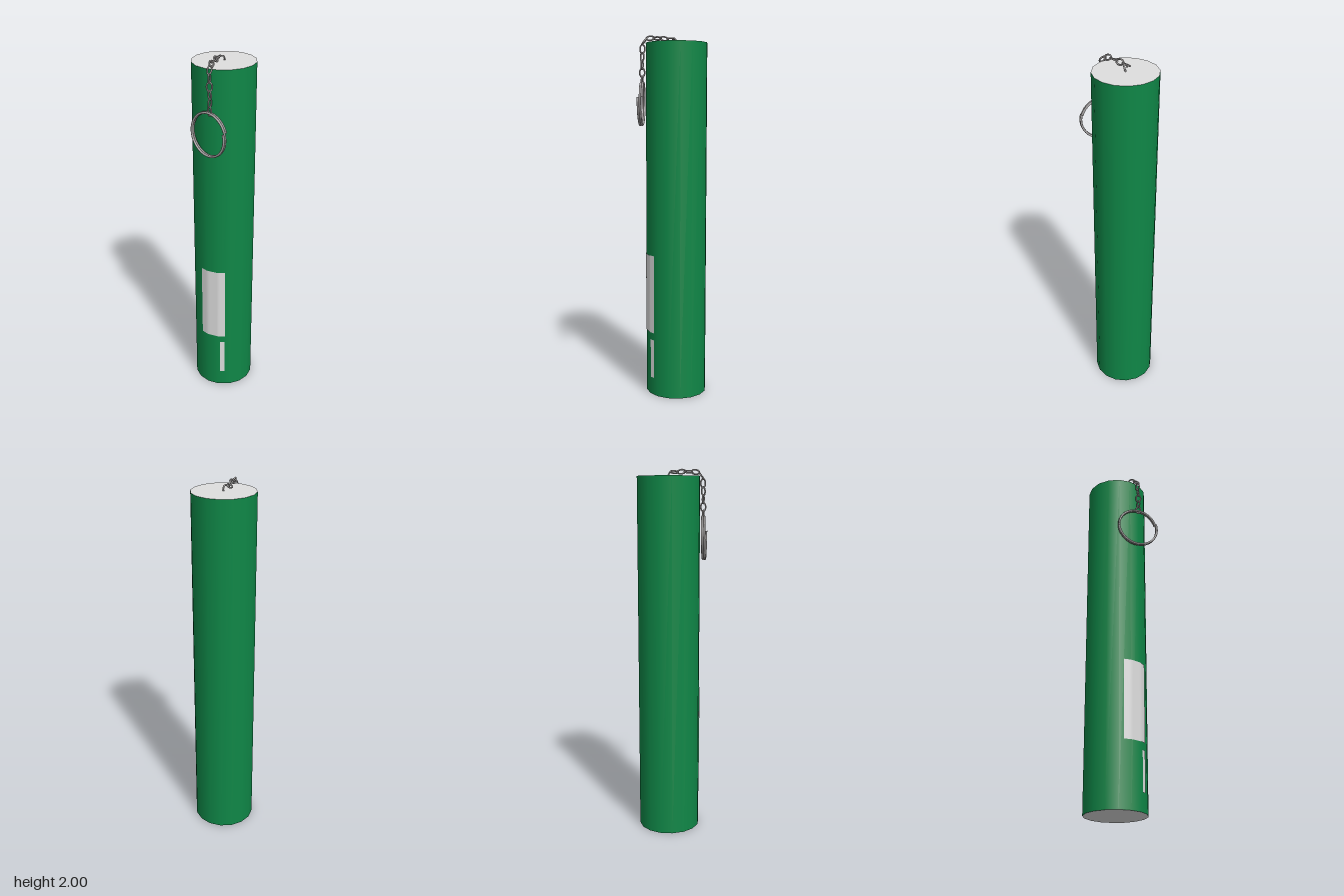
import * as THREE from 'three';

const mat = (name, color, side = THREE.FrontSide) => {
  const m = new THREE.MeshStandardMaterial({ color, side });
  m.name = name;
  return m;
};
const V = (x, y, z) => new THREE.Vector3(x, y, z);

const RADIUS = 0.169, HEIGHT = 1.96, SIDES = 16, AXIS_Z = -0.049;

// Depth of the faceted front wall at a given x
function wallZ(x) {
  const step = (Math.PI * 2) / SIDES;
  const k = Math.floor(Math.asin(x / RADIUS) / step);
  const a = k * step, b = a + step;
  const t = (x / RADIUS - Math.sin(a)) / (Math.sin(b) - Math.sin(a));
  return AXIS_Z + RADIUS * THREE.MathUtils.lerp(Math.cos(a), Math.cos(b), t);
}

// Thin patch that follows the wall between x0 and x1
function patch(name, x0, x1, y0, y1, material) {
  const n = 14;
  const geo = new THREE.PlaneGeometry(x1 - x0, y1 - y0, n, 1);
  geo.translate((x0 + x1) / 2, (y0 + y1) / 2, 0);
  const p = geo.attributes.position;
  for (let i = 0; i < p.count; i++) p.setZ(i, wallZ(p.getX(i)) + 0.004);
  geo.computeVertexNormals();
  const mesh = new THREE.Mesh(geo, material);
  mesh.name = name;
  return mesh;
}

export function createModel() {
  const green = mat('green', 0x0f8747);
  const white = mat('white', 0xdedede, THREE.DoubleSide);
  const steel = mat('steel', 0xa6a3a3);
  const model = new THREE.Group();
  model.name = 'keyringTube';

  // Tube body with pale end caps
  const body = new THREE.Mesh(
    new THREE.CylinderGeometry(RADIUS, RADIUS, HEIGHT, SIDES), [green, white, white]);
  body.position.set(0, HEIGHT / 2, AXIS_Z);
  body.name = 'body';
  model.add(body);

  // Front label and the narrow strip under it
  model.add(patch('label', -0.1, 0.04, 0.36, 0.8, white));
  model.add(patch('strip', 0.01, 0.038, 0.1, 0.32, white));

  // Hook rising from the top cap
  const hookPath = new THREE.CatmullRomCurve3([
    V(0, 1.95, -0.053), V(0.003, 1.968, -0.047), V(-0.002, 1.984, -0.037),
    V(-0.016, 1.984, -0.034), V(-0.026, 1.972, -0.037)]);
  const hook = new THREE.Mesh(new THREE.TubeGeometry(hookPath, 16, 0.0045, 8), steel);
  hook.name = 'hook';
  model.add(hook);

  // Oval chain link, long along z
  const oval = [];
  for (let i = 0; i < 12; i++) {
    const a = (i / 12) * Math.PI * 2;
    oval.push(V(0.0135 * Math.cos(a), 0, 0.0235 * Math.sin(a)));
  }
  const linkGeo = new THREE.TubeGeometry(
    new THREE.CatmullRomCurve3(oval, true), 20, 0.0043, 7, true);

  // Chain across the top, over the rim and down the front
  const chainPath = new THREE.CatmullRomCurve3([
    V(-0.026, 1.979, -0.05), V(-0.03, 1.982, 0.03), V(-0.035, 1.98, 0.1),
    V(-0.037, 1.958, 0.134), V(-0.036, 1.9, 0.143), V(-0.034, 1.82, 0.145),
    V(-0.036, 1.735, 0.145)]);
  const chain = new THREE.Group();
  chain.name = 'chain';
  const count = 10;
  for (let i = 0; i < count; i++) {
    const u = (i + 0.5) / count;
    const link = new THREE.Mesh(linkGeo, steel);
    link.name = 'chainLink';
    link.position.copy(chainPath.getPointAt(u));
    link.lookAt(link.position.clone().add(chainPath.getTangentAt(u)));
    link.rotateZ(i % 2 ? -0.95 : 0.45);
    chain.add(link);
  }
  model.add(chain);

  // Split ring: two coils side by side
  const coil = [];
  for (let i = 0; i <= 64; i++) {
    const t = i / 64, a = t * Math.PI * 4 + 0.3;
    coil.push(V(0.114 * Math.cos(a), 0.114 * Math.sin(a), (t - 0.5) * 0.022));
  }
  const ring = new THREE.Mesh(
    new THREE.TubeGeometry(new THREE.CatmullRomCurve3(coil), 128, 0.006, 8), steel);
  ring.position.set(-0.042, 1.632, 0.145);
  ring.rotation.y = -0.56;
  ring.name = 'splitRing';
  model.add(ring);

  return model;
}
